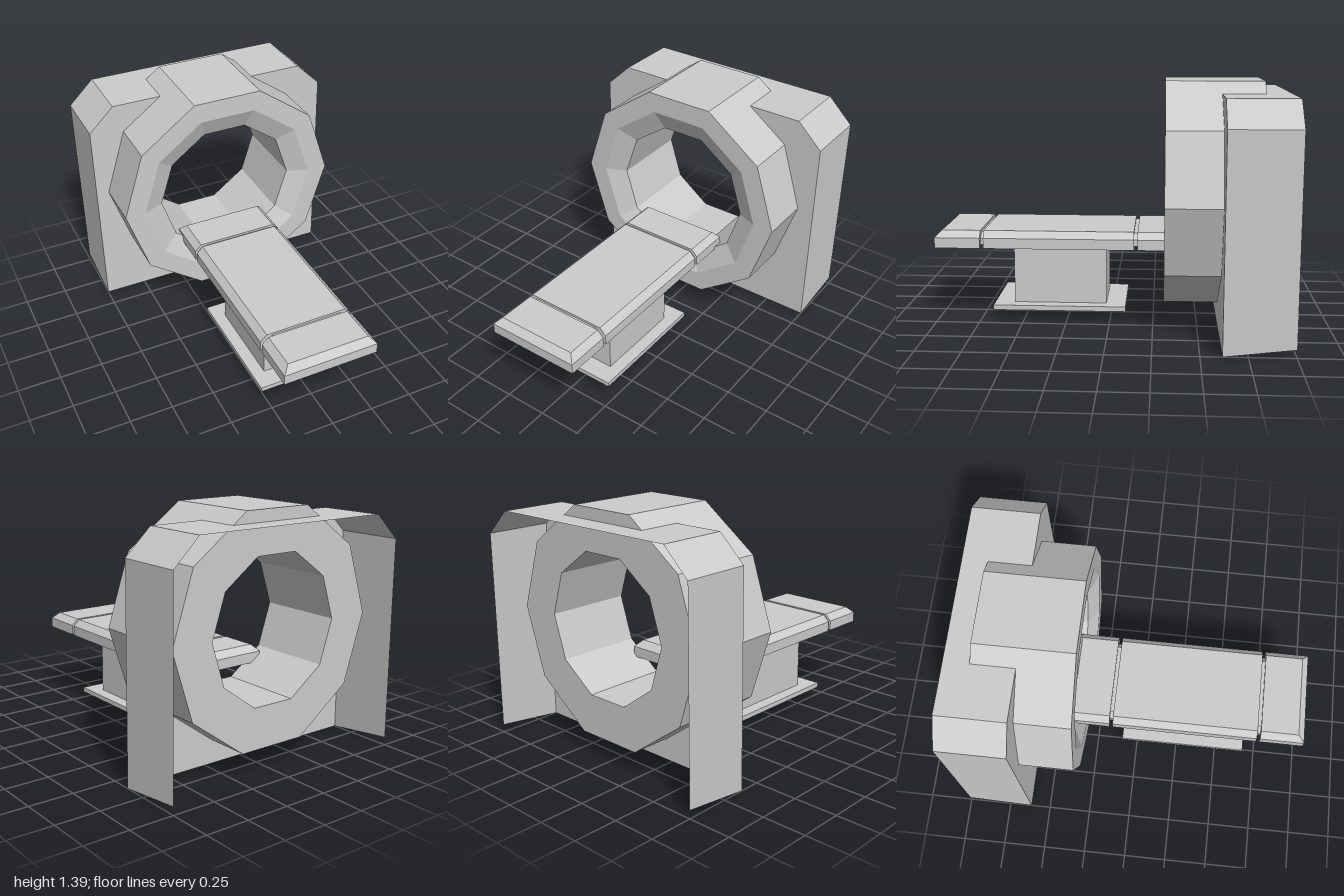
import * as THREE from 'three';

const material = new THREE.MeshStandardMaterial({ color: 0xcccccc, flatShading: true, side: THREE.DoubleSide });

// Flat-faced skin over a row of cross-sections (points run clockwise seen from the first one)
function loft(sections, closed) {
  const pos = [];
  for (let i = 0; i < sections.length - 1; i++) {
    const s = sections[i], t = sections[i + 1], n = s.length;
    for (let j = 0; j < (closed ? n : n - 1); j++) {
      const k = (j + 1) % n;
      for (const p of [s[j], s[k], t[k], s[j], t[k], t[j]]) pos.push(...p);
    }
  }
  const g = new THREE.BufferGeometry();
  g.setAttribute('position', new THREE.Float32BufferAttribute(pos, 3));
  g.computeVertexNormals();
  return g;
}

function part(name, geometry) {
  const m = new THREE.Mesh(geometry, material);
  m.name = name;
  return m;
}

const RING_X = -0.0125, RING_Y = 0.7575, RING_R = 0.663;

// Ten-sided ring section, clockwise from the front
function decagon(r, z) {
  return Array.from({ length: 10 }, (_, i) => {
    const a = -i * Math.PI / 5;
    return [RING_X + r * Math.cos(a), RING_Y + r * Math.sin(a), z];
  });
}

const BED_X = -0.0325, BED_Z = 0.29;

// Horizontal rectangle centred on the bed, clockwise from above
function rect(hx, hz, y) {
  return [[-1, -1], [1, -1], [1, 1], [-1, 1]].map(([a, b]) => [BED_X + a * hx, y, BED_Z + b * hz]);
}

// Bed section, open below, with bevelled shoulders
function bedSection(z, half, topHalf, bottom, shoulder, top) {
  return [[-half, bottom], [-half, shoulder], [-topHalf, top], [topHalf, top], [half, shoulder], [half, bottom]]
    .map(([x, y]) => [BED_X + x, y, BED_Z + z]);
}

export function createModel() {
  const group = new THREE.Group();
  group.name = 'scanner';

  // Housing: front panel with a hole, and walls open at the back and below
  const outline = [[-0.75, 0], [-0.75, 1.18], [-0.6, 1.323], [0.6, 1.323], [0.75, 1.18], [0.75, 0]];
  const panel = new THREE.Shape(outline.map(([x, y]) => new THREE.Vector2(x, y)));
  panel.holes.push(new THREE.Path());
  // The panel outline is notched where the ring rises above its top edge
  const ringPts = decagon(RING_R, 0);
  const slope = (1.323 - ringPts[9][1]) / (ringPts[8][1] - ringPts[9][1]);
  const cutX = THREE.MathUtils.lerp(ringPts[9][0], ringPts[8][0], slope) - RING_X;
  const around = [9, 0, 1, 2, 3, 4, 5, 6].map((i) => new THREE.Vector2(ringPts[i][0], ringPts[i][1]));
  const notched = new THREE.Shape([
    ...outline.slice(0, 3).map(([x, y]) => new THREE.Vector2(x, y)),
    new THREE.Vector2(RING_X - cutX, 1.323),
    ...around.reverse(),
    new THREE.Vector2(RING_X + cutX, 1.323),
    ...outline.slice(3).map(([x, y]) => new THREE.Vector2(x, y)),
  ]);
  const panelMesh = part('housingFrontPanel', new THREE.ShapeGeometry(notched));
  panelMesh.position.z = -0.617;
  group.add(panelMesh);
  group.add(part('housingWalls', loft([
    outline.map(([x, y]) => [x, y, -0.617]),
    outline.map(([x, y]) => [x, y || 0.045, -1]),
  ], false)));

  // Gantry ring with a funnelled bore
  group.add(part('gantryRing', loft([
    decagon(RING_R, -0.31), decagon(RING_R, -0.857), decagon(0.417, -0.857),
    decagon(0.417, -0.365), decagon(0.54, -0.31), decagon(RING_R, -0.31),
  ], true)));

  // Bed: three bevelled pads joined by narrow grooves
  const full = [0.2775, 0.24, 0.437, 0.497, 0.535];
  const groove = [0.24, 0.205, 0.452, 0.49, 0.522];
  const end = (s) => [
    bedSection(s * 0.71, 0.2775, 0.2775, 0.437, 0.437, 0.437),
    bedSection(s * 0.71, 0.2775, 0.2775, 0.437, 0.497, 0.497),
    bedSection(s * 0.672, ...full),
    bedSection(s * 0.45, ...full),
    bedSection(s * 0.45, ...groove),
    bedSection(s * 0.43, ...groove),
    bedSection(s * 0.43, ...full),
  ];
  group.add(part('bed', loft([...end(1), ...end(-1).reverse()], false)));

  // Hollow pedestal and its base
  group.add(part('pedestal', loft([rect(0, 0, 0.53), rect(0.1725, 0.268, 0.53), rect(0.1725, 0.268, 0.095)], true)));
  group.add(part('pedestalBase', loft([rect(0.1725, 0.268, 0.095), rect(0.246, 0.382, 0.095), rect(0.246, 0.382, 0.067)], true)));

  return group;
}
